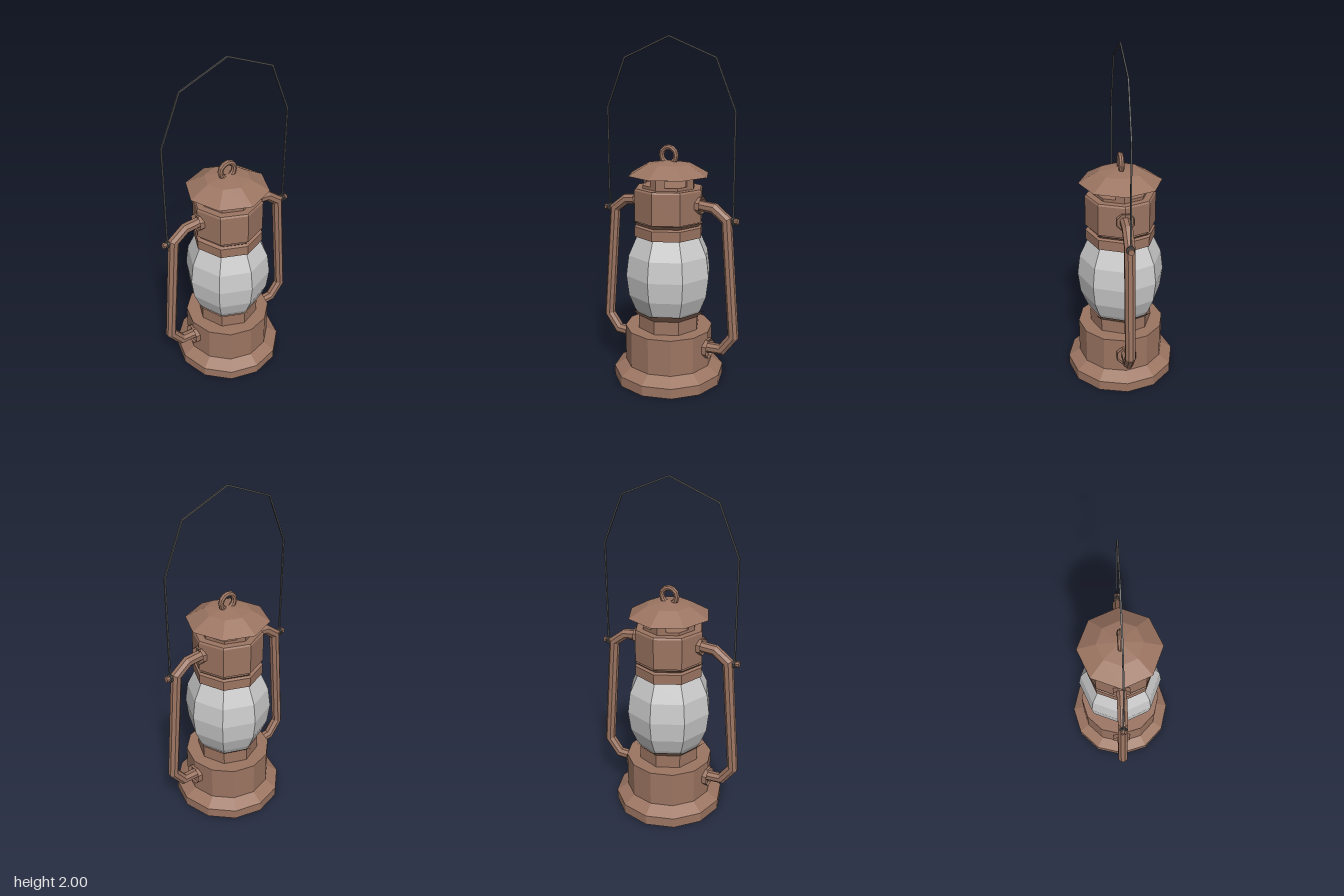
import * as THREE from 'three';

const paint = (color, side = THREE.FrontSide) =>
  new THREE.MeshStandardMaterial({ color, flatShading: true, side });

// Faceted solid of revolution; profile runs bottom to top as [radius, y]
function turned(name, profile, sides, material) {
  const points = profile.map(([r, y]) => new THREE.Vector2(r, y));
  const mesh = new THREE.Mesh(new THREE.LatheGeometry(points, sides), material);
  mesh.name = name;
  return mesh;
}

// Bar with mitred corners along a path in the xy plane
function mitredBar(name, path, radius, sides, material) {
  const pts = path.map(([x, y]) => new THREE.Vector2(x, y));
  const positions = [], index = [];
  pts.forEach((p, i) => {
    const before = p.clone().sub(pts[Math.max(i - 1, 0)]).normalize();
    const after = pts[Math.min(i + 1, pts.length - 1)].clone().sub(p).normalize();
    const t = before.clone().add(after).normalize();
    const stretch = 1 / t.dot(i < pts.length - 1 ? after : before);
    for (let j = 0; j < sides; j++) {
      const a = ((j + 0.5) / sides) * Math.PI * 2;
      const n = Math.cos(a) * radius * stretch;
      positions.push(p.x - t.y * n, p.y + t.x * n, Math.sin(a) * radius);
      if (i === pts.length - 1) continue;
      const k = (j + 1) % sides;
      const a0 = i * sides + j, b0 = i * sides + k;
      index.push(a0, b0, a0 + sides, b0, b0 + sides, a0 + sides);
    }
  });
  const geometry = new THREE.BufferGeometry();
  geometry.setAttribute('position', new THREE.Float32BufferAttribute(positions, 3));
  geometry.setIndex(index);
  geometry.computeVertexNormals();
  const mesh = new THREE.Mesh(geometry, material);
  mesh.name = name;
  return mesh;
}

// Cylinder lying along x
function crossPin(name, x, y, radius, length, sides, material, open = false) {
  const geometry = new THREE.CylinderGeometry(radius, radius, length, sides, 1, open);
  geometry.rotateY(Math.PI / sides).rotateZ(Math.PI / 2);
  const mesh = new THREE.Mesh(geometry, material);
  mesh.position.set(x, y, 0);
  mesh.name = name;
  return mesh;
}

export function createModel() {
  const lantern = new THREE.Group();
  lantern.name = 'lantern';
  const brown = paint(0x9c7562);
  const brownOpen = paint(0x9c7562, THREE.DoubleSide);
  const glass = paint(0xcccccc);
  const wire = paint(0x555555);

  // Fuel tank on its wide foot
  lantern.add(turned('tank', [[0, 0], [0.327, 0], [0.327, 0.06], [0.258, 0.105],
    [0.258, 0.32], [0, 0.32]], 12, brown));

  // Burner neck, opening into a thin flare below the glass
  lantern.add(turned('burnerNeck', [[0.185, 0.32], [0.185, 0.4], [0.235, 0.447]], 8, brown));

  // Glass globe
  lantern.add(turned('globe', [[0.18, 0.4], [0.205, 0.44], [0.242, 0.53], [0.257, 0.65],
    [0.242, 0.77], [0.19, 0.885]], 8, glass));

  // Collar and chimney
  lantern.add(turned('chimney', [[0, 0.88], [0.205, 0.88], [0.205, 0.938], [0.185, 0.948],
    [0.185, 0.97], [0.205, 0.97], [0.205, 1.148], [0.198, 1.158], [0.157, 1.158],
    [0.157, 1.175], [0, 1.175]], 8, brown));
  lantern.add(turned('chimneyFlare', [[0.185, 0.943], [0.22, 0.972]], 8, brown));

  // Four angled posts leave the vent openings between them
  const section = new THREE.Shape([[0, 0.157], [-0.045, 0.138], [-0.041, 0.128],
    [0, 0.145], [0.041, 0.128], [0.045, 0.138]].map(([x, y]) => new THREE.Vector2(x, y)));
  const postGeometry = new THREE.ExtrudeGeometry(section, { depth: 0.04, bevelEnabled: false });
  postGeometry.rotateX(-Math.PI / 2);
  for (let i = 0; i < 4; i++) {
    const post = new THREE.Mesh(postGeometry, brown);
    post.name = 'ventPost';
    post.position.y = 1.175;
    post.rotation.y = (i * Math.PI) / 2;
    lantern.add(post);
  }

  // Hood and its lifting ring
  lantern.add(turned('hood', [[0, 1.215], [0.157, 1.215], [0.157, 1.23], [0.24, 1.23],
    [0.13, 1.293], [0, 1.313]], 8, brown));
  const ring = new THREE.Mesh(new THREE.TorusGeometry(0.046, 0.016, 8, 12), brown);
  ring.name = 'topRing';
  ring.position.y = 1.34;
  lantern.add(ring);

  // Side tubes with their sockets and handle pivots
  for (const s of [1, -1]) {
    const side = new THREE.Group();
    side.name = s > 0 ? 'leftSideTube' : 'rightSideTube';
    const path = [[0.17, 1.07], [0.285, 1.06], [0.362, 1], [0.416, 0.32], [0.347, 0.228], [0.22, 0.222]];
    side.add(mitredBar('tube', path.map(([x, y]) => [s * x, y]), 0.031, 8, brown));
    side.add(crossPin('upperSocket', s * 0.195, 1.07, 0.052, 0.036, 8, brownOpen, true));
    side.add(crossPin('lowerSocket', s * 0.255, 0.22, 0.06, 0.034, 8, brownOpen, true));
    side.add(crossPin('pivot', s * 0.395, 1, 0.014, 0.07, 8, brown));
    side.add(crossPin('pivotHead', s * 0.423, 1, 0.018, 0.014, 8, brown));
    side.add(crossPin('handleLoop', s * 0.402, 1, 0.024, 0.01, 8, wire));
    lantern.add(side);
  }

  // Wire carrying handle
  lantern.add(mitredBar('handle', [[-0.402, 1], [-0.402, 1.6], [-0.285, 1.88], [0, 1.995],
    [0.285, 1.88], [0.402, 1.6], [0.402, 1]], 0.006, 4, wire));

  return lantern;
}
